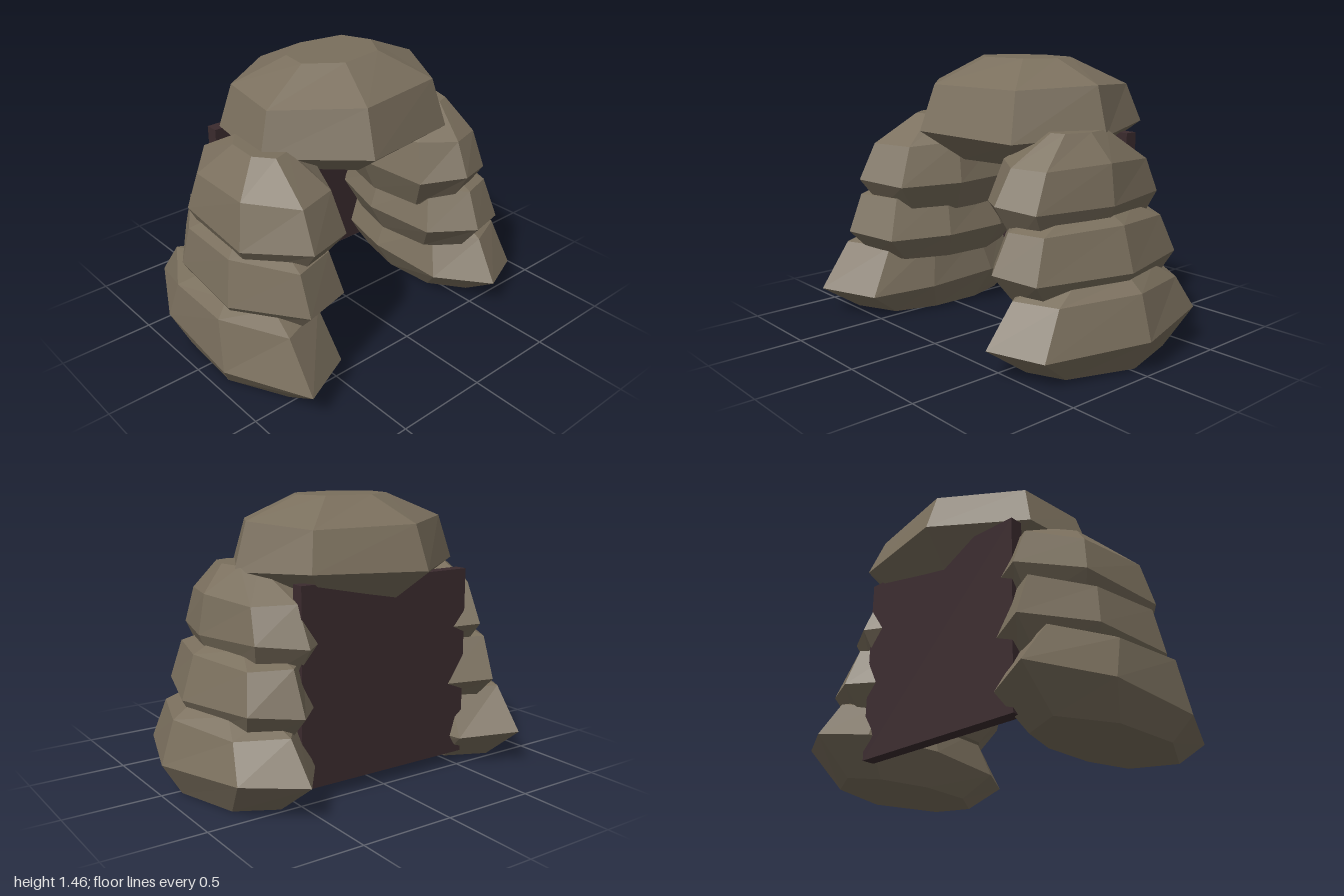
import * as THREE from 'three';

const stone = new THREE.MeshStandardMaterial({ color: 0x7a6f5d, flatShading: true });
stone.name = 'stone';
const dark = new THREE.MeshStandardMaterial({ color: 0x3b2b2e, flatShading: true });
dark.name = 'dark interior';

// Boulder lofted from one outline [x, z] (front, right, back, left order).
// Each layer is [y, scaleX, scaleZ, shiftX, shiftZ, tilt] about the outline's centre;
// tilt raises the layer along +z.
function boulder(name, outline, layers) {
  const n = outline.length;
  const xs = outline.map((p) => p[0]), zs = outline.map((p) => p[1]);
  const cx = (Math.min(...xs) + Math.max(...xs)) / 2;
  const cz = (Math.min(...zs) + Math.max(...zs)) / 2;
  const pos = [], index = [];
  layers.forEach(([y, sx, sz, dx = 0, dz = 0, tilt = 0], k) => {
    const wobble = k === 0 || k === layers.length - 1 ? 0 : 0.012;
    outline.forEach(([x, z], i) => pos.push(
      cx + (x - cx) * sx + dx,
      y + tilt * (z - cz) + wobble * Math.sin(i * 2.3 + k * 1.7),
      cz + (z - cz) * sz + dz));
  });
  for (let k = 0; k < layers.length - 1; k++) {
    for (let i = 0; i < n; i++) {
      const j = (i + 1) % n;
      const a = k * n + i, b = k * n + j, c = b + n, d = a + n;
      index.push(a, b, c, a, c, d);
    }
  }
  // closing fans
  const top = (layers.length - 1) * n;
  for (let i = 1; i < n - 1; i++) {
    index.push(0, i + 1, i);
    index.push(top, top + i, top + i + 1);
  }
  const g = new THREE.BufferGeometry();
  g.setAttribute('position', new THREE.Float32BufferAttribute(pos, 3));
  g.setIndex(index);
  const flat = g.toNonIndexed();
  flat.computeVertexNormals();
  const mesh = new THREE.Mesh(flat, stone);
  mesh.name = name;
  return mesh;
}

export function createModel() {
  const model = new THREE.Group();
  model.name = 'stoneArch';

  // Pillar on the model's right (-x)
  const rightPillar = new THREE.Group();
  rightPillar.name = 'rightPillar';
  rightPillar.add(
    boulder('rightBaseBoulder',
      [[-0.8, 0.69], [-0.5, 0.54], [-0.4, 0.2], [-0.39, -0.22], [-0.48, -0.54], [-0.77, -0.69], [-0.97, -0.3], [-1, 0.25]],
      [[0.005, 0.76, 0.68], [0.16, 1, 1, 0, 0, -0.03], [0.4, 0.87, 0.75, -0.01], [0.45, 0.6, 0.5]]),
    boulder('rightMiddleBoulder',
      [[-0.7, 0.56], [-0.42, 0.47], [-0.29, 0.16], [-0.28, -0.2], [-0.42, -0.47], [-0.66, -0.59], [-0.88, -0.27], [-0.92, 0.2]],
      [[0.33, 0.75, 0.75], [0.47, 1, 1], [0.69, 0.84, 0.86, -0.01], [0.75, 0.55, 0.5]]),
    boulder('rightUpperBoulder',
      [[-0.64, 0.52], [-0.37, 0.43], [-0.24, 0.12], [-0.25, -0.22], [-0.38, -0.44], [-0.6, -0.54], [-0.82, -0.27], [-0.86, 0.24]],
      [[0.61, 0.74, 0.75], [0.77, 1, 1], [0.98, 0.84, 0.82], [1.13, 0.34, 0.34]]));
  model.add(rightPillar);

  // Pillar on the model's left (+x)
  const leftPillar = new THREE.Group();
  leftPillar.name = 'leftPillar';
  leftPillar.add(
    boulder('leftBaseBoulder',
      [[0.55, 0.62], [0.82, 0.5], [1, -0.02], [0.86, -0.53], [0.57, -0.7], [0.42, -0.5], [0.33, -0.1], [0.36, 0.34]],
      [[0.005, 0.7, 0.66], [0.17, 1, 1, 0, 0, -0.03], [0.38, 0.8, 0.78], [0.45, 0.56, 0.52]]),
    boulder('leftMiddleBoulder',
      [[0.49, 0.53], [0.72, 0.46], [0.88, -0.02], [0.77, -0.47], [0.53, -0.59], [0.35, -0.42], [0.24, -0.06], [0.29, 0.34]],
      [[0.32, 0.72, 0.75], [0.48, 1, 1], [0.69, 0.79, 0.84], [0.75, 0.5, 0.5]]),
    boulder('leftUpperBoulder',
      [[0.44, 0.47], [0.65, 0.4], [0.77, 0], [0.69, -0.41], [0.47, -0.54], [0.28, -0.4], [0.18, -0.07], [0.23, 0.33]],
      [[0.6, 0.72, 0.75], [0.79, 1, 1], [0.98, 0.86, 0.82, 0.01], [1.13, 0.34, 0.34, 0.05, 0.04]]));
  model.add(leftPillar);

  // Large capstone bridging the pillars
  model.add(boulder('capstone',
    [[-0.19, 0.43], [0.4, 0.33], [0.62, -0.1], [0.46, -0.54], [-0.13, -0.66], [-0.55, -0.35], [-0.6, 0.07]],
    [[0.93, 0.55, 0.6], [1.1, 1, 1, 0, 0, -0.04], [1.33, 0.89, 0.85], [1.46, 0.42, 0.36]]));

  // Dark slab closing the rear of the opening
  const slab = new THREE.Mesh(new THREE.BoxGeometry(1.02, 1, 0.07), dark);
  slab.name = 'backSlab';
  slab.position.set(-0.03, 0.57, -0.445);
  model.add(slab);

  return model;
}
